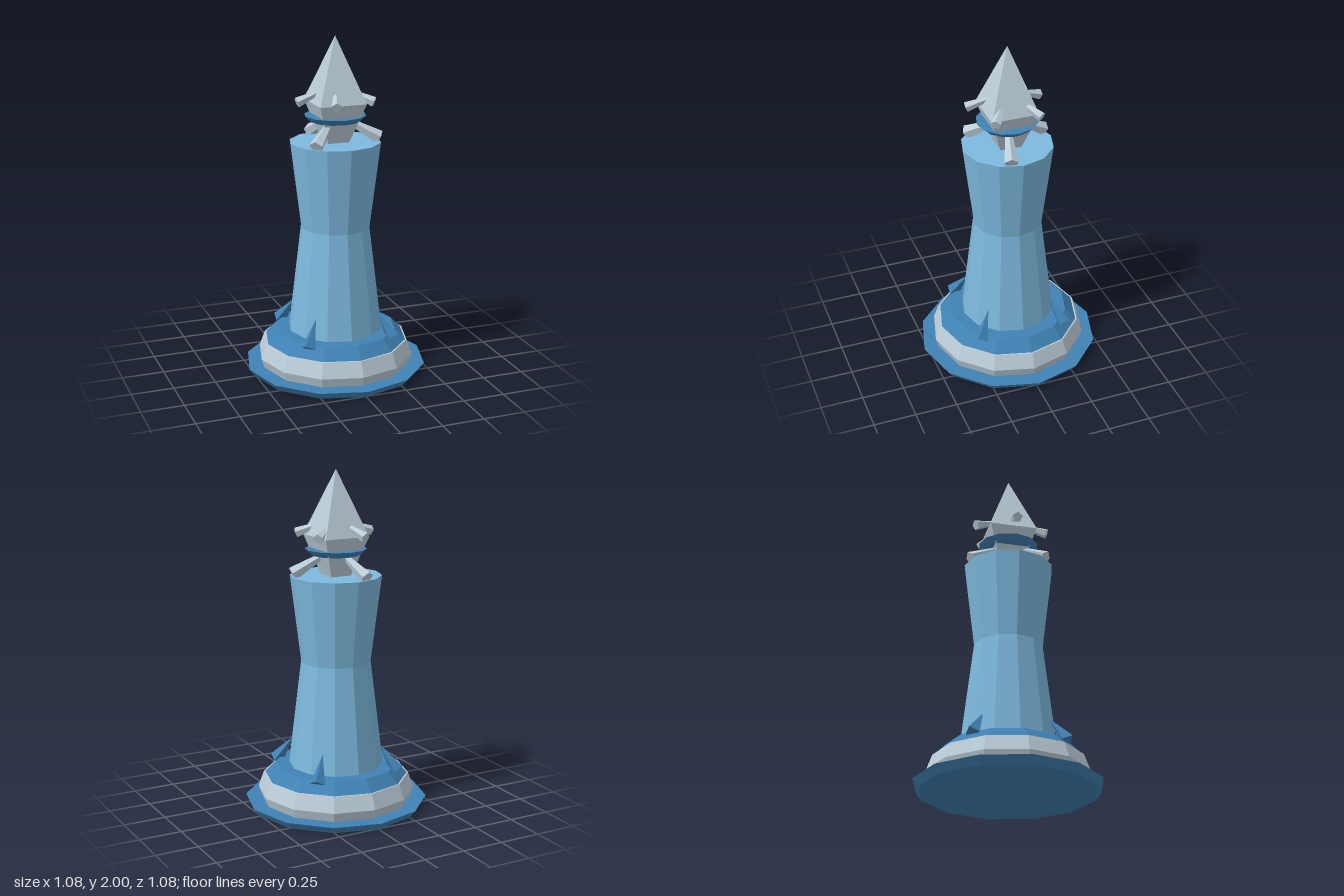
import * as THREE from 'three';

const material = (name, color) => new THREE.MeshStandardMaterial({ name, color, flatShading: true });

export function createModel() {
  const group = new THREE.Group();
  const paleBlue = material('paleBlue', 0x7db9de);
  const deepBlue = material('deepBlue', 0x4082b4);
  const stone = material('paleStone', 0xbccdd8);

  const add = (name, geometry, mat) => {
    const mesh = new THREE.Mesh(geometry, mat);
    mesh.name = name;
    group.add(mesh);
    return mesh;
  };
  // Faceted turned solid from [radius, height] pairs, listed bottom to top
  const turned = (name, profile, mat, sides = 12, start = 0) =>
    add(name, new THREE.LatheGeometry(profile.map(([r, y]) => new THREE.Vector2(r, y)), sides, start), mat);

  // Tapered shard between two points on a radial line; angle runs from +x towards +z
  const shard = (name, angle, from, to, r0, r1, sides, mat) => {
    const point = ([r, y]) => new THREE.Vector3(r * Math.cos(angle), y, r * Math.sin(angle));
    const a = point(from), b = point(to);
    const dir = b.clone().sub(a);
    const mesh = add(name, new THREE.CylinderGeometry(r1, r0, dir.length(), sides), mat);
    // Basis keeps one corner facing along the radial plane
    const up = dir.normalize();
    const side = new THREE.Vector3(-Math.sin(angle), 0, Math.cos(angle));
    const out = new THREE.Vector3().crossVectors(side, up);
    mesh.quaternion.setFromRotationMatrix(new THREE.Matrix4().makeBasis(side, up, out.negate().negate()));
    mesh.position.copy(a).add(b).multiplyScalar(0.5);
  };

  // Stepped base
  turned('basePlate', [[0, 0], [0.505, 0], [0.54, 0.045], [0, 0.045]], deepBlue);
  turned('baseRing', [[0, 0.03], [0.445, 0.04], [0.465, 0.1], [0.432, 0.19], [0, 0.19]], stone);
  turned('baseShoulder', [[0, 0.18], [0.423, 0.19], [0.36, 0.255], [0, 0.255]], deepBlue);

  // Waisted column
  turned('column', [[0, 0.24], [0.28, 0.25], [0.204, 0.88], [0.267, 1.39], [0, 1.39]], paleBlue);

  // Head crystal and its collar
  turned('collar', [[0, 1.51], [0.145, 1.51], [0.18, 1.545], [0, 1.545]], deepBlue);
  const q = Math.SQRT2;
  turned('headCrystal', [[0, 1.3], [0.05 * q, 1.35], [0.14 * q, 1.62], [0, 2]], stone, 4, Math.PI / 4);

  // Spikes leaning against the column foot
  for (let i = 0; i < 4; i++) {
    shard('baseSpike', Math.PI / 4 + i * Math.PI / 2, [0.372, 0.24], [0.27, 0.385], 0.045, 0, 4, deepBlue);
  }
  // Upper crown of five shards
  for (let i = 0; i < 5; i++) {
    shard('upperShard', Math.PI + i * Math.PI * 0.4, [0.115, 1.675], [0.23, 1.63], 0.016, 0.031, 5, stone);
  }
  // Three larger shards below the collar
  for (let i = 0; i < 3; i++) {
    shard('lowerShard', Math.PI / 12 + i * Math.PI * 2 / 3, [0.07, 1.51], [0.255, 1.405], 0.018, 0.042, 5, stone);
  }
  return group;
}
